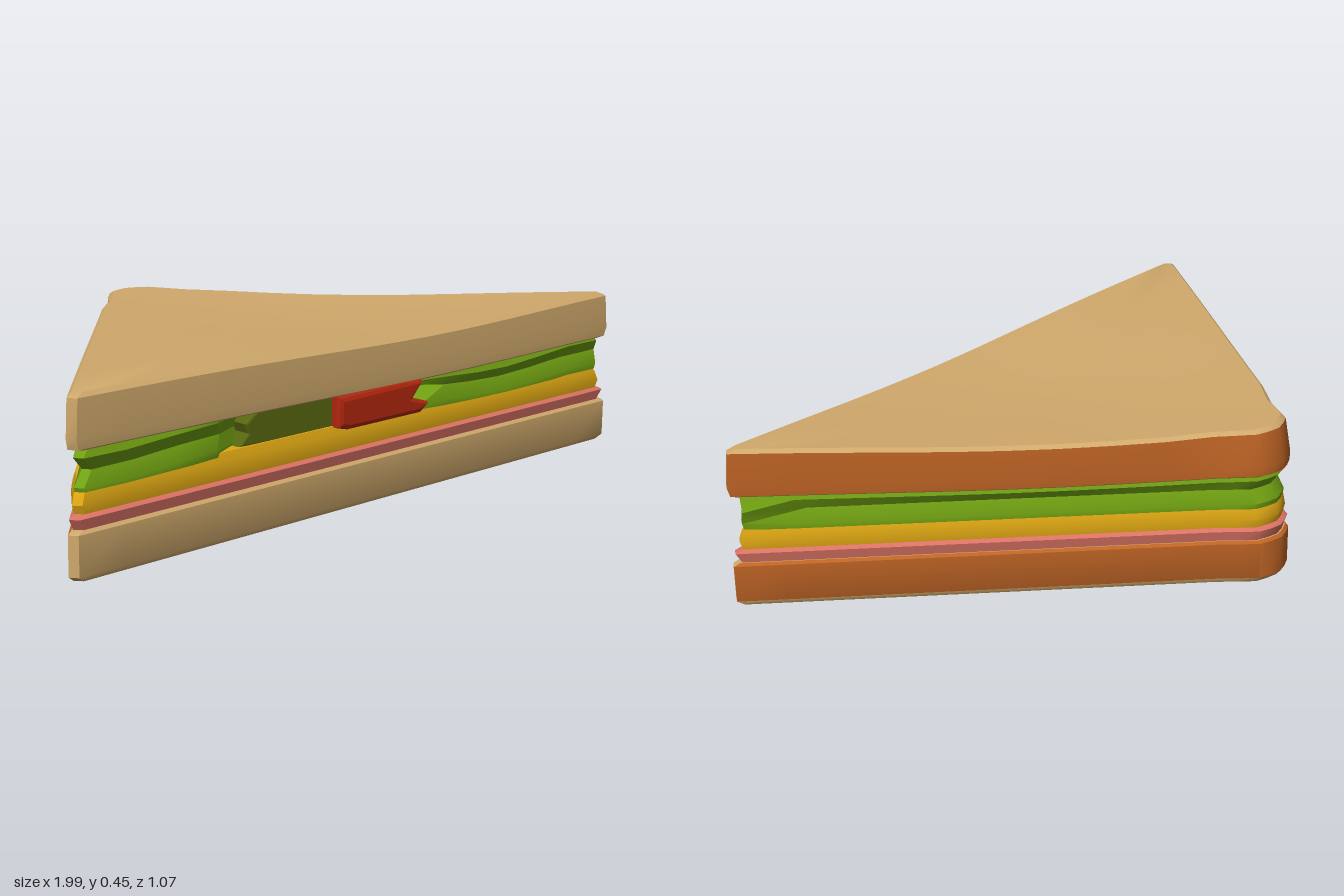
import * as THREE from 'three';
import { toCreasedNormals } from 'three/addons/utils/BufferGeometryUtils.js';

const CZ = 0.082, R = 0.448; // incentre and inradius of the triangular outline

// Half outline, from the middle of the cut face round the corner to the crust tip
const half = [[0.07, 0.53], [0.2, 0.53], [0.32, 0.53], [0.43, 0.53], [0.56, 0.53], [0.7, 0.53], [0.85, 0.53],
  [0.98, 0.53], [0.996, 0.51]];
for (let i = 1; i <= 9; i++) half.push([0.996 - 0.856 * i / 9, 0.51 - 0.94 * i / 9]);
half.push([0.105, -0.475], [0.07, -0.518], [0.035, -0.532]);
const outline = [[0, 0.53], ...half, [0, -0.54], ...half.slice().reverse().map(([x, z]) => [-x, z])];

// Bread and filling sag toward the middle of the right side
const sag = (x, z) => -0.034 * Math.exp(-((x - 0.25) ** 2 + (z - 0.1) ** 2) / 0.36);

// Lofted slab. levels run from top to bottom as [inset, y]; warp moves single points;
// pick returns the material index for the face below level i at the given place.
function slab(name, levels, materials, pick = () => 0, warp = () => {}) {
  const caps = [1, 0.7, 0.35];
  const top = levels[0], bottom = levels[levels.length - 1];
  const rings = [...caps.map(c => [R * c + top[0] * (1 - c), top[1]]), ...levels,
    ...caps.slice().reverse().map(c => [R * c + bottom[0] * (1 - c), bottom[1]])];
  const n = outline.length, pos = [], lists = materials.map(() => []);
  for (const [inset, y] of rings) {
    const s = 1 - inset / R;
    for (const [x, z] of outline) {
      const p = new THREE.Vector3(x * s, y, CZ + (z - CZ) * s);
      warp(p);
      pos.push(p.x, p.y, p.z);
    }
  }
  for (let i = 0; i < rings.length - 1; i++) {
    for (let j = 0; j < n; j++) {
      const k = (j + 1) % n, a = i * n + j, b = i * n + k, c = a + n, d = b + n;
      const list = lists[pick(i - caps.length, (outline[j][1] + outline[k][1]) / 2)];
      if (i < rings.length - 2) list.push(b, c, d);
      if (i > 0) list.push(a, c, b);
    }
  }
  const g = new THREE.BufferGeometry();
  g.setAttribute('position', new THREE.Float32BufferAttribute(pos, 3));
  g.setIndex(lists.flat());
  let start = 0;
  lists.forEach((l, m) => { g.addGroup(start, l.length, m); start += l.length; });
  const mesh = new THREE.Mesh(toCreasedNormals(g, 0.6), materials);
  mesh.name = name;
  return mesh;
}

// Slice of vegetable seen in the cut face, drawn in x and y
function slice(name, points, front, bevel, material) {
  const shape = new THREE.Shape(points.map(p => new THREE.Vector2(...p)));
  const g = new THREE.ExtrudeGeometry(shape, { depth: 0.06, bevelEnabled: true, bevelSize: bevel,
    bevelOffset: -bevel, bevelThickness: bevel, bevelSegments: 2 });
  g.translate(0, 0, front - 0.06 - bevel);
  const mesh = new THREE.Mesh(g, material);
  mesh.name = name;
  return mesh;
}

export function createModel() {
  const mat = (name, color) => {
    const m = new THREE.MeshStandardMaterial({ color });
    m.name = name;
    return m;
  };
  const crumb = mat('bread crumb', 0xd0a96c), crust = mat('bread crust', 0xbf6425);
  const ham = mat('ham pink', 0xdb7364), cheese = mat('cheese yellow', 0xdfa813);
  const lettuce = mat('lettuce green', 0x70a012), pickle = mat('pickle olive', 0x58660f);
  const tomato = mat('tomato red', 0xb2260f);
  const group = new THREE.Group();
  group.name = 'sandwich';

  // Bread: crust only on the walls behind the cut face
  const crustPick = (i, z) => (i >= 1 && i <= 2 && z < 0.515 ? 1 : 0);
  group.add(slab('bottomBread', [[0.008, 0.122], [0.001, 0.115], [0.001, 0.014], [0.01, 0]],
    [crumb, crust], (i, z) => (i >= 0 && i <= 1 && z < 0.515 ? 1 : 0)));
  group.add(slab('topBread', [[0.014, 0.446], [0.004, 0.436], [0.001, 0.34], [0.004, 0.315], [0.012, 0.31]],
    [crumb, crust], crustPick, p => {
      if (p.z < -0.35) p.z += Math.max(0, p.y - 0.32) * 0.14; // tip leans inward
      p.y += sag(p.x, p.z) * (p.y > 0.4 ? 1 : 0.5);
    }));

  // Fillings
  group.add(slab('ham', [[0.018, 0.162], [0.004, 0.15], [0.012, 0.118]], [ham]));
  group.add(slab('cheese', [[0.02, 0.225], [0.014, 0.205], [0.01, 0.18], [0.014, 0.155]], [cheese], () => 0, p => {
    if (p.x < -0.25 && p.z < 0.45) p.x -= 0.018; // slice pokes out on one side
  }));
  group.add(slab('lettuce', [[0.022, 0.315], [0.014, 0.296], [0.03, 0.262], [0.014, 0.225], [0.016, 0.208]],
    [lettuce], () => 0, p => {
      if (p.z > 0.45) {
        if (p.x > -0.42 && p.x < 0.19) p.z -= 0.06; // gap for the slices
        p.y += 0.008 * Math.sin(p.x * 9);
        if (p.x > 0.9) p.x += p.y > 0.24 && p.y < 0.28 ? 0.045 : 0;
      }
      if (p.y > 0.28) p.y += sag(p.x, p.z) * 0.4;
    }));
  group.add(slice('pickleSlice', [[-0.46, 0.225], [-0.13, 0.215], [-0.13, 0.308], [-0.4, 0.308],
    [-0.44, 0.28], [-0.43, 0.255]], 0.505, 0.006, pickle));
  group.add(slice('tomatoSlice', [[-0.14, 0.222], [-0.1, 0.212], [0.17, 0.212], [0.205, 0.238],
    [0.14, 0.258], [0.18, 0.302], [0.1, 0.308], [-0.14, 0.304]], 0.535, 0.014, tomato));
  return group;
}
